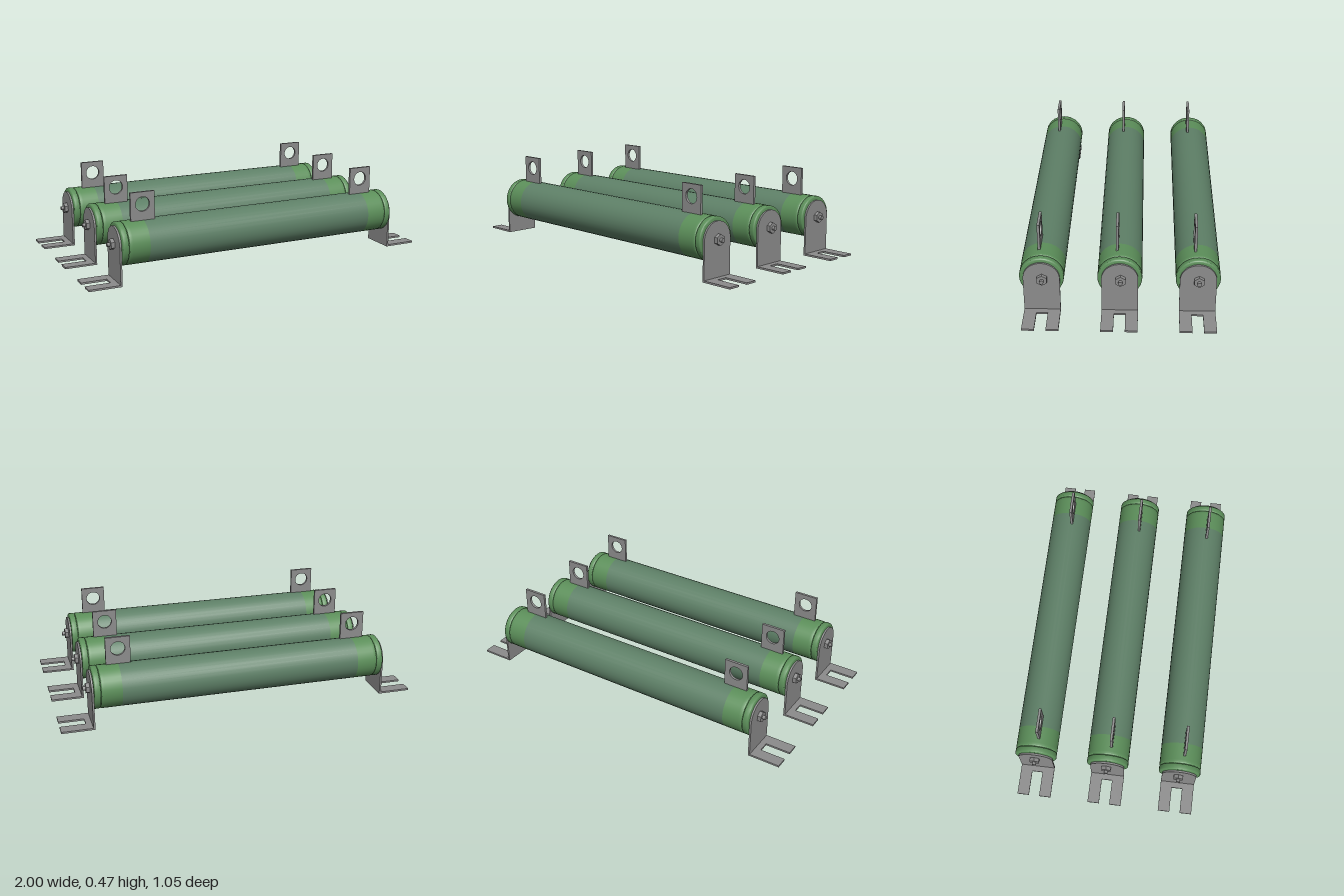
import * as THREE from 'three';
import { toCreasedNormals } from 'three/addons/utils/BufferGeometryUtils.js';

const material = (name, color) => new THREE.MeshStandardMaterial({ name, color });

const AXIS_Y = 0.206;   // height of the tube axis
const R = 0.117;        // tube radius
const SPACING = 0.408;  // distance between tubes

// Turned part along x, from [radius, x] points listed with x rising
function turned(points) {
  const geo = new THREE.LatheGeometry(points.map(([r, x]) => new THREE.Vector2(r, x)), 32);
  return toCreasedNormals(geo.rotateZ(-Math.PI / 2), 0.6);
}

function plate(shape, depth) {
  return toCreasedNormals(
    new THREE.ExtrudeGeometry(shape, { depth, bevelEnabled: false, curveSegments: 16 }), 0.5);
}

// Quarter-round edge points from the outside towards the axis
function fillet(x, r, size, dir) {
  const pts = [];
  for (let i = 0; i <= 3; i++) {
    const a = (i / 3) * Math.PI / 2;
    pts.push([r - size + size * Math.cos(a), x + dir * (size * Math.sin(a) - size)]);
  }
  return pts;
}

// Upright plate with a rounded top, thin along x
function uprightGeometry() {
  const w = 0.096;
  const s = new THREE.Shape();
  s.moveTo(-w, 0);
  s.lineTo(w, 0);
  s.lineTo(w, AXIS_Y);
  s.absarc(0, AXIS_Y, w, 0, Math.PI, false);
  s.lineTo(-w, 0);
  return plate(s, 0.01).rotateY(Math.PI / 2).translate(0.818, 0, 0);
}

// Foot with an open slot towards the outside
function footGeometry() {
  const w = 0.096, slot = 0.03, inner = 0.86;
  const s = new THREE.Shape([
    [0.82, -w], [1, -w], [1, -slot], [inner, -slot],
    [inner, slot], [1, slot], [1, w], [0.82, w],
  ].map(([x, y]) => new THREE.Vector2(x, y)));
  return plate(s, 0.01).rotateX(-Math.PI / 2);
}

// Terminal tab with a round hole
function tabGeometry() {
  const w = 0.067;
  const s = new THREE.Shape();
  s.moveTo(-w, 0.29);
  s.lineTo(w, 0.29);
  s.lineTo(w, 0.473);
  s.lineTo(-w, 0.473);
  s.closePath();
  const hole = new THREE.Path();
  hole.absarc(0, 0.408, 0.039, 0, Math.PI * 2, true);
  s.holes.push(hole);
  return plate(s, 0.014).translate(0, 0, -0.007);
}

export function createModel() {
  const metal = material('grey metal', 0x8c8c8c);
  const coating = material('grey green coating', 0x5e8067);
  const glaze = material('green glaze', 0x5c8f5a);

  const geo = {
    body: turned([[R, -0.667], [R, 0.667]]),
    band: turned([[R, 0.667], [R, 0.76], ...fillet(0.78, R, 0.006, 1), [0.1, 0.78]]),
    neck: turned([[0.107, 0.775], [0.107, 0.79]]),
    collar: turned([[0.1, 0.782], ...fillet(0.782, R, 0.006, -1).reverse(),
      ...fillet(0.817, R, 0.008, 1), [0, 0.817]]),
    upright: uprightGeometry(),
    foot: footGeometry(),
    tab: tabGeometry(),
    nut: toCreasedNormals(new THREE.CylinderGeometry(0.03, 0.03, 0.02, 6), 0.5)
      .rotateY(Math.PI / 2).rotateZ(-Math.PI / 2).translate(0.838, AXIS_Y, 0),
    stud: new THREE.CylinderGeometry(0.011, 0.011, 0.04, 16)
      .rotateZ(-Math.PI / 2).translate(0.844, AXIS_Y, 0),
  };

  const add = (parent, name, geometry, mat, x = 0, y = 0, z = 0) => {
    const mesh = new THREE.Mesh(geometry, mat);
    mesh.name = name;
    mesh.position.set(x, y, z);
    parent.add(mesh);
  };

  const model = new THREE.Group();
  model.name = 'tubeResistorSet';

  for (const row of [-1, 0, 1]) {
    const unit = new THREE.Group();
    unit.name = 'tubeResistor';
    unit.position.z = row * SPACING;
    model.add(unit);

    add(unit, 'tubeBody', geo.body, coating, 0, AXIS_Y, 0);

    // Both ends share the same parts, turned half round
    for (const side of [1, -1]) {
      const end = new THREE.Group();
      end.name = side > 0 ? 'leftEnd' : 'rightEnd';
      if (side < 0) end.rotation.y = Math.PI;
      unit.add(end);
      add(end, 'endBand', geo.band, glaze, 0, AXIS_Y, 0);
      add(end, 'grooveNeck', geo.neck, glaze, 0, AXIS_Y, 0);
      add(end, 'endCollar', geo.collar, glaze, 0, AXIS_Y, 0);
      add(end, 'bracketUpright', geo.upright, metal);
      add(end, 'bracketFoot', geo.foot, metal);
      add(end, 'nut', geo.nut, metal, 0, 0, -0.004 * side);
      add(end, 'stud', geo.stud, metal, 0, 0, -0.004 * side);
    }

    // Terminal tabs stand slightly in front of the axis
    for (const x of [-0.671, 0.664]) add(unit, 'terminalTab', geo.tab, metal, x, 0, 0.015);
  }
  return model;
}
